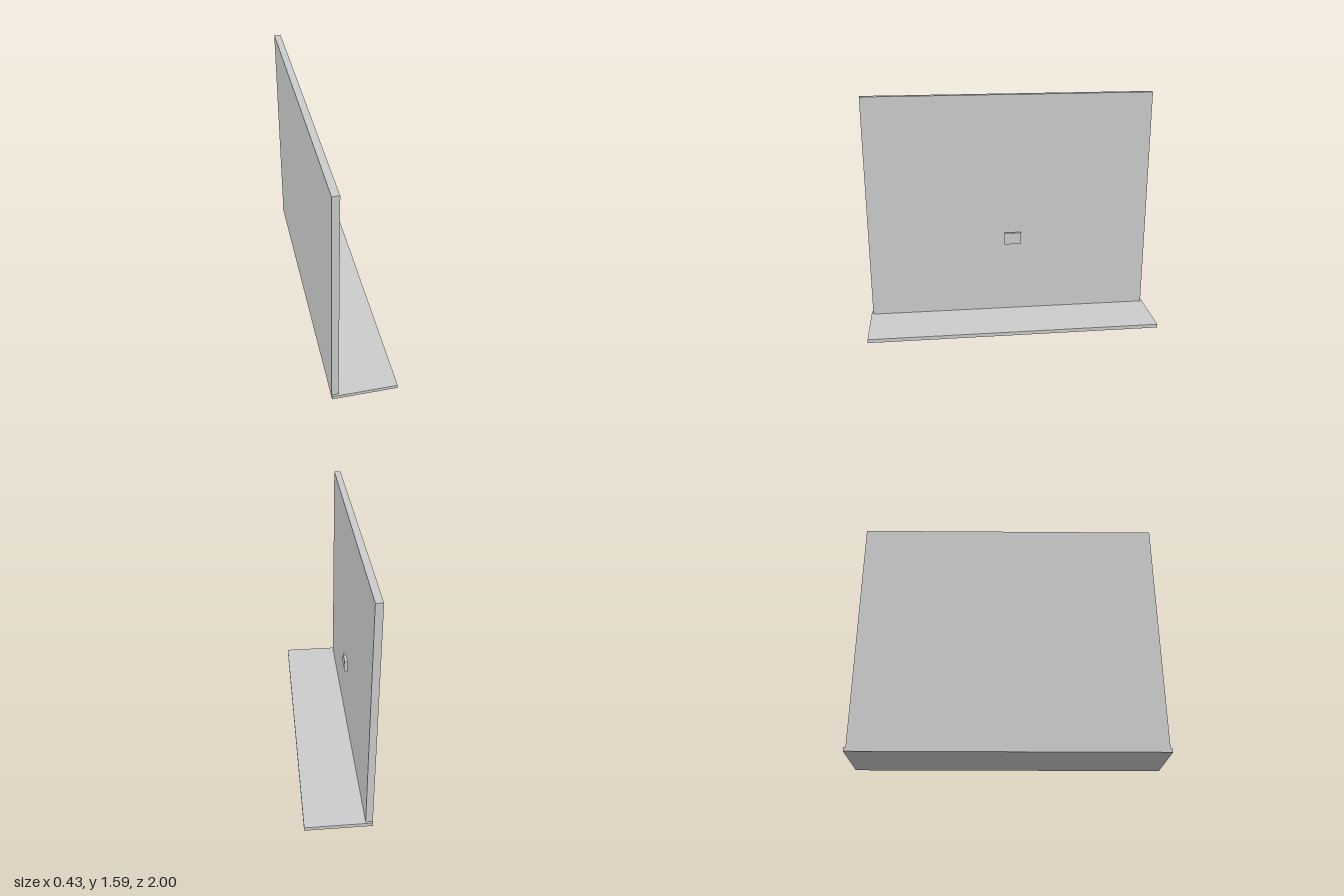
import * as THREE from 'three';

export function createModel() {
  const group = new THREE.Group();
  const grey = new THREE.MeshStandardMaterial({ color: 0xcccccc });

  // Box given by its low and high corners
  function box(name, [x0, y0, z0], [x1, y1, z1], parent = group) {
    const mesh = new THREE.Mesh(new THREE.BoxGeometry(x1 - x0, y1 - y0, z1 - z0), grey);
    mesh.position.set((x0 + x1) / 2, (y0 + y1) / 2, (z0 + z1) / 2);
    mesh.name = name;
    parent.add(mesh);
    return mesh;
  }

  // Floor slab and the upright wall on its right edge
  box('floorSlab', [-0.215, 0, -1], [0.215, 0.025, 1]);
  box('wallPanel', [-0.215, 0.025, -0.987], [-0.17, 1.59, 0.987]);

  // Small device standing just off the wall
  const device = new THREE.Group();
  device.name = 'wallDevice';
  group.add(device);
  box('deviceBody', [-0.157, 0.535, -0.08], [-0.137, 0.616, 0.037], device);

  // Rounded connector strip along the rear end of the device
  const w = 0.016, h = 0.066, r = 0.006;
  const outline = new THREE.Shape();
  outline.absarc(w / 2 - r, h / 2 - r, r, 0, Math.PI / 2);
  outline.absarc(r - w / 2, h / 2 - r, r, Math.PI / 2, Math.PI);
  outline.absarc(r - w / 2, r - h / 2, r, Math.PI, Math.PI * 1.5);
  outline.absarc(w / 2 - r, r - h / 2, r, Math.PI * 1.5, Math.PI * 2);
  const strip = new THREE.Mesh(
    new THREE.ExtrudeGeometry(outline, { depth: 0.004, bevelEnabled: false, curveSegments: 5 }), grey);
  strip.rotation.y = Math.PI / 2;
  strip.position.set(-0.138, 0.576, -0.07);
  strip.name = 'connectorStrip';
  device.add(strip);

  // Small clips on the top and bottom edges
  box('topClip', [-0.153, 0.614, 0.005], [-0.141, 0.619, 0.025], device);
  box('bottomClip', [-0.153, 0.531, 0], [-0.141, 0.537, 0.034], device);

  return group;
}
